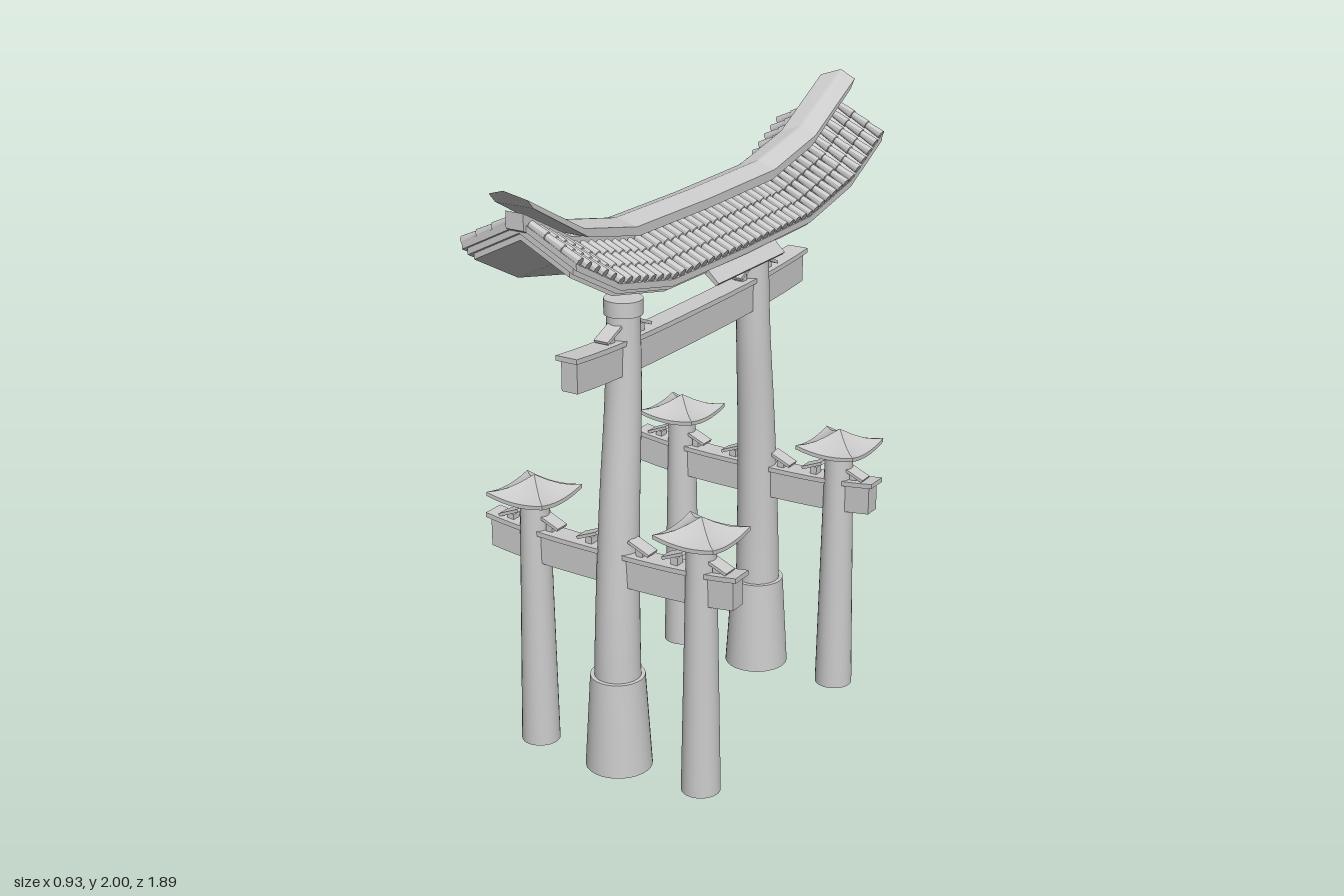
import * as THREE from 'three';
import { toCreasedNormals } from 'three/addons/utils/BufferGeometryUtils.js';

const mat = new THREE.MeshStandardMaterial({ color: 0xcccccc });
const CX = 0.012; // x of the gate's centre line

function add(parent, name, geometry, x = 0, y = 0, z = 0) {
  const mesh = new THREE.Mesh(geometry, mat);
  mesh.name = name;
  mesh.position.set(x, y, z);
  parent.add(mesh);
  return mesh;
}

// Applies a rule to every vertex
function reshape(geometry, rule) {
  const p = geometry.attributes.position;
  const v = new THREE.Vector3();
  for (let i = 0; i < p.count; i++) {
    rule(v.fromBufferAttribute(p, i));
    p.setXYZ(i, v.x, v.y, v.z);
  }
  return geometry;
}

// Extrudes an x-y outline through z stations, lifted by bend(z); rake slants the ends
function sweep(outline, stations, bend = () => 0, rake = 0) {
  const shape = new THREE.Shape(outline.map(([x, y]) => new THREE.Vector2(x, y)));
  const steps = stations.length - 1;
  const geo = new THREE.ExtrudeGeometry(shape, { depth: 1, steps, bevelEnabled: false });
  const top = Math.max(...outline.map((q) => q[1]));
  reshape(geo, (v) => {
    const z = stations[Math.round(v.z * steps)];
    const lift = bend(z);
    v.z = z * (1 - rake * (top - v.y));
    v.y += lift;
  });
  geo.computeVertexNormals();
  return geo;
}

const rect = (w, y0, y1) => [[-w / 2, y0], [w / 2, y0], [w / 2, y1], [-w / 2, y1]];

// Mirrors the right half of an outline, listed from bottom to top
const symmetric = (half) => [...half, ...half.map(([x, y]) => [-x, y]).reverse()];

function lathe(points, sides = 28) {
  return new THREE.LatheGeometry(points.map(([r, y]) => new THREE.Vector2(r, y)), sides);
}

// Upward sweep of the main roof, in straight runs
function roofLift(z) {
  const a = Math.abs(z);
  if (a < 0.405) return (0.005 * a) / 0.405;
  if (a < 0.675) return 0.005 + ((a - 0.405) / 0.27) * 0.058;
  return 0.063 + ((a - 0.675) / 0.27) * 0.142;
}
const roofStations = (half) => [-half, -0.675, -0.405, 0, 0.405, 0.675, half];

function mainRoof() {
  const roof = new THREE.Group();
  roof.name = 'mainRoof';
  roof.position.x = CX;
  const run = (name, outline, half, rake = 0) =>
    add(roof, name, sweep(outline, roofStations(half), roofLift, rake));

  run('ridgeCap', symmetric([[0.065, 1.745], [0.065, 1.775], [0.004, 1.795]]), 0.945, 1);
  run('ridgeStem', rect(0.06, 1.7, 1.75), 0.9);
  // Roof slab and the narrower boards under it, as chevrons
  const chevron = (w, peak, eave, drop) =>
    [[0, peak], [w, eave], [w, eave - drop], [0, peak - drop], [-w, eave - drop], [-w, eave]];
  run('roofDeck', chevron(0.195, 1.735, 1.638, 0.02), 0.888);
  run('eaveBoard', chevron(0.18, 1.72, 1.63, 0.024), 0.882);
  run('soffit', chevron(0.163, 1.705, 1.624, 0.027), 0.875);

  // Round tile rows made of overlapping tapered tiles
  const length = 0.185;
  const profile = [[0, 0]];
  for (let i = 0; i < 3; i++) {
    profile.push([0.015, (i * length) / 3], [0.0115, ((i + 0.97) * length) / 3]);
  }
  profile.push([0, length]);
  const tileGeo = toCreasedNormals(lathe(profile, 10), 0.7);
  const rows = 45;
  for (const side of [-1, 1]) {
    const tiles = new THREE.Group();
    tiles.name = side > 0 ? 'leftTiles' : 'rightTiles';
    for (let i = 0; i < rows; i++) {
      const z = -0.874 + (1.748 * i) / (rows - 1);
      const tile = add(tiles, 'tileRow', tileGeo, side * 0.198, 1.647 + roofLift(z), z);
      tile.rotation.z = side * 1.1;
    }
    roof.add(tiles);
    // Slanted plank under the middle of each eave
    const plank = [[0.155, 1.618], [0.213, 1.571], [0.222, 1.58], [0.165, 1.635]];
    add(roof, 'eavePlank', sweep(plank.map(([x, y]) => [side * x, y]), [-0.197, 0.197]));
  }
  return roof;
}

// Tie beam along z with a curved cap and a sloped bracket on both sides of each post
function tieBeam(name, half, bottom, posts) {
  const beam = new THREE.Group();
  beam.name = name;
  const bend = (z) => 0.022 * Math.abs(z / half) ** 3;
  const stations = (h) => Array.from({ length: 17 }, (_, i) => h * (i / 8 - 1));
  const top = bottom + 0.1;
  add(beam, 'beam', sweep(rect(0.056, bottom, top), stations(half), bend));
  add(beam, 'beamCap', sweep(rect(0.074, top - 0.005, top + 0.011), stations(half + 0.014), bend));
  for (const { at, r } of posts) {
    for (const side of [-1, 1]) {
      const y = top + 0.008 + bend(at);
      add(beam, 'bracketBlock', new THREE.BoxGeometry(0.032, 0.026, 0.024),
        0, y + 0.013, at + side * (r + 0.026));
      const plank = add(beam, 'bracketPlank', new THREE.BoxGeometry(0.05, 0.01, 0.08),
        0, y + 0.032, at + side * (r + 0.028));
      plank.rotation.x = side * 0.4;
    }
  }
  return beam;
}

// Main pillar, bending inward as it rises
function mainPillar(side) {
  const pillar = new THREE.Group();
  pillar.name = side > 0 ? 'frontMainPillar' : 'backMainPillar';
  pillar.position.set(CX, 0, 0);
  const lean = new THREE.CatmullRomCurve3([
    [0.43, 0], [0.43, 0.45], [0.41, 0.9], [0.383, 1.25], [0.377, 1.55],
  ].map(([z, y]) => new THREE.Vector3(0, y, z)));
  const path = lean.getPoints(40);
  const centre = (y) => {
    const i = Math.min(path.length - 1, Math.max(1, path.findIndex((p) => p.y >= y - 1e-6)));
    const a = path[i - 1], b = path[i];
    return THREE.MathUtils.lerp(a.z, b.z, (y - a.y) / (b.y - a.y));
  };
  const turned = (name, points) => {
    const geo = reshape(lathe(points), (v) => { v.z += side * centre(v.y); });
    add(pillar, name, toCreasedNormals(geo, 0.6));
  };
  turned('sleeve', [[0, 0], [0.108, 0], [0.088, 0.32], [0, 0.32]]);
  const shaft = [[0, 0.3], [0.075, 0.3]];
  for (let i = 1; i <= 12; i++) shaft.push([0.075 - 0.0235 * (i / 12), 0.3 + 0.1 * i]);
  turned('shaft', [...shaft, [0, 1.5]]);
  turned('collar', [[0, 1.5], [0.06, 1.5], [0.06, 1.548], [0, 1.548]]);
  return pillar;
}

// Square cap roof with concave slopes and lifted corners
function capRoofGeometry() {
  const geo = lathe([[0, 0.89], [0.05, 0.874], [0.092, 0.864], [0.107, 0.857], [0.107, 0.87],
    [0.085, 0.876], [0.06, 0.887], [0.03, 0.907], [0, 0.93]], 32);
  reshape(geo, (v) => {
    const r = Math.hypot(v.x, v.z);
    if (r < 1e-6) return;
    const big = Math.max(Math.abs(v.x), Math.abs(v.z));
    const corner = Math.min(Math.abs(v.x), Math.abs(v.z)) / big;
    v.x *= r / big;
    v.z *= r / big;
    v.y += 0.014 * corner ** 2 * (r / 0.107) ** 2;
  });
  return toCreasedNormals(geo, 0.35);
}

export function createModel() {
  const model = new THREE.Group();
  model.name = 'gate';
  model.add(mainRoof());

  const upper = tieBeam('upperTieBeam', 0.66, 1.312,
    [{ at: -0.379, r: 0.053 }, { at: 0.379, r: 0.053 }]);
  upper.position.x = CX;
  model.add(upper);

  const postGeo = toCreasedNormals(lathe([[0, 0], [0.063, 0], [0.047, 0.835], [0, 0.835]]), 0.6);
  const capGeo = capRoofGeometry();
  for (const side of [1, -1]) {
    model.add(mainPillar(side));
    const lower = tieBeam('lowerTieBeam', 0.45, 0.64,
      [{ at: -0.308, r: 0.049 }, { at: CX, r: 0.068 }, { at: 0.308, r: 0.049 }]);
    lower.rotation.y = Math.PI / 2;
    lower.position.z = side * 0.43;
    model.add(lower);
    for (const sx of [1, -1]) {
      const x = CX + sx * 0.309;
      add(model, 'sidePost', postGeo, x, 0, side * 0.43);
      add(model, 'sidePostRoof', capGeo, x, 0, side * 0.43);
    }
  }
  return model;
}
